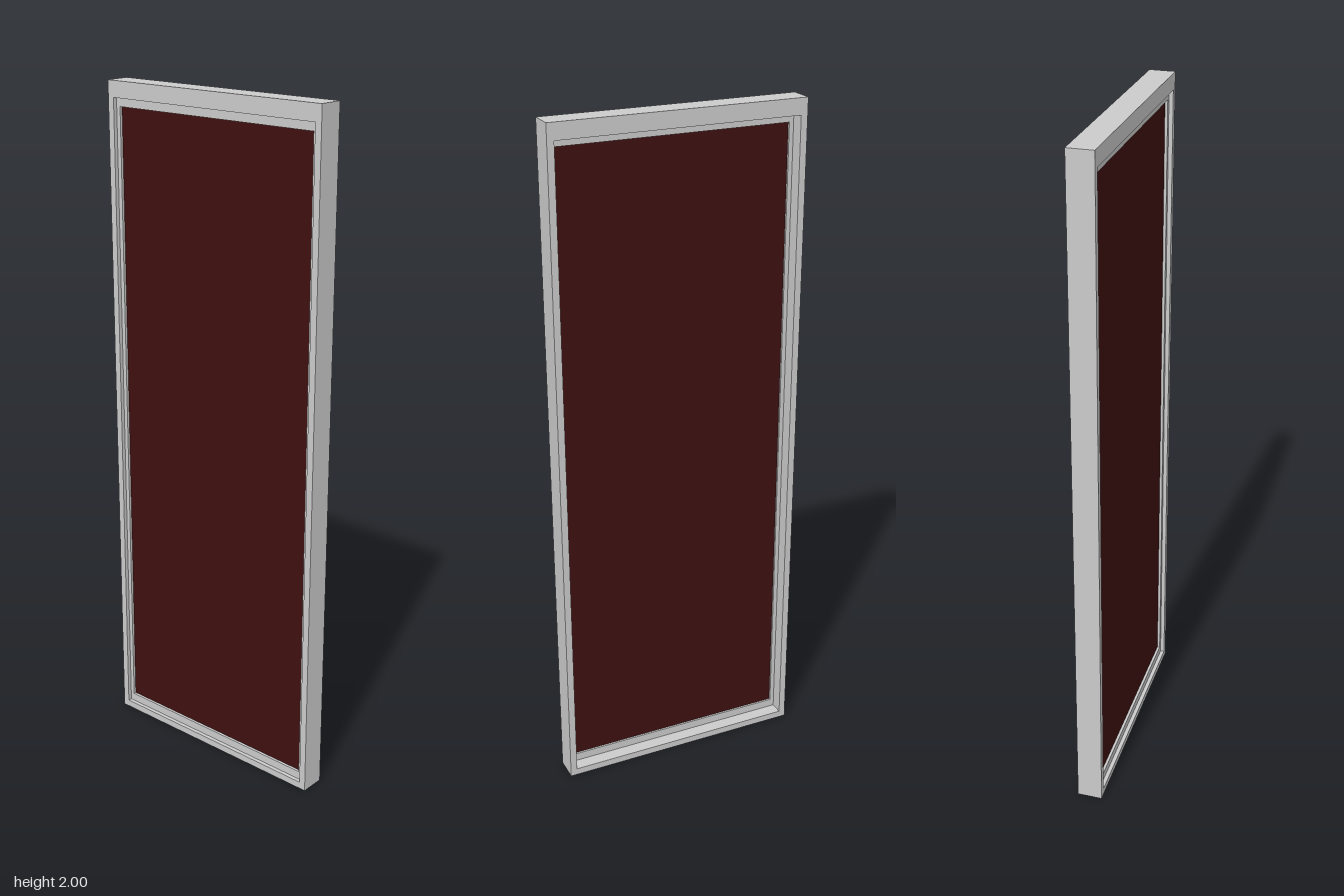
import * as THREE from 'three';

const grey = new THREE.MeshStandardMaterial({ color: 0xcccccc });
const darkRed = new THREE.MeshStandardMaterial({ color: 0x3f1010 });

// Corners of a rectangle centred on x, from y0 up to y1
const rect = (half, y0, y1) => [[-half, y0], [half, y0], [half, y1], [-half, y1]]
  .map(([x, y]) => new THREE.Vector2(x, y));

// Rectangular ring between two outlines, spanning z0 to z1
function ring(name, outer, inner, z0, z1) {
  const shape = new THREE.Shape(outer);
  shape.holes.push(new THREE.Path(inner));
  const geometry = new THREE.ExtrudeGeometry(shape, { depth: z1 - z0, bevelEnabled: false });
  geometry.translate(0, 0, z0);
  const mesh = new THREE.Mesh(geometry, grey);
  mesh.name = name;
  return mesh;
}

export function createModel() {
  const group = new THREE.Group();
  group.name = 'framedPanel';

  const outer = rect(0.373, 0, 2);
  const opening = rect(0.353, 0.021, 1.953);
  const panelEdge = rect(0.34, 0.046, 1.928);

  // Outer frame with a taller head rail
  group.add(ring('outerFrame', outer, opening, -0.037, 0.037));
  // Inner sash, set back from the front and deeper from the back
  group.add(ring('innerSash', opening, panelEdge, 0.003, 0.025));

  // Dark infill panel
  const panel = new THREE.Mesh(new THREE.BoxGeometry(0.68, 1.882, 0.008), darkRed);
  panel.name = 'infillPanel';
  panel.position.set(0, 0.987, 0.013);
  group.add(panel);

  return group;
}
